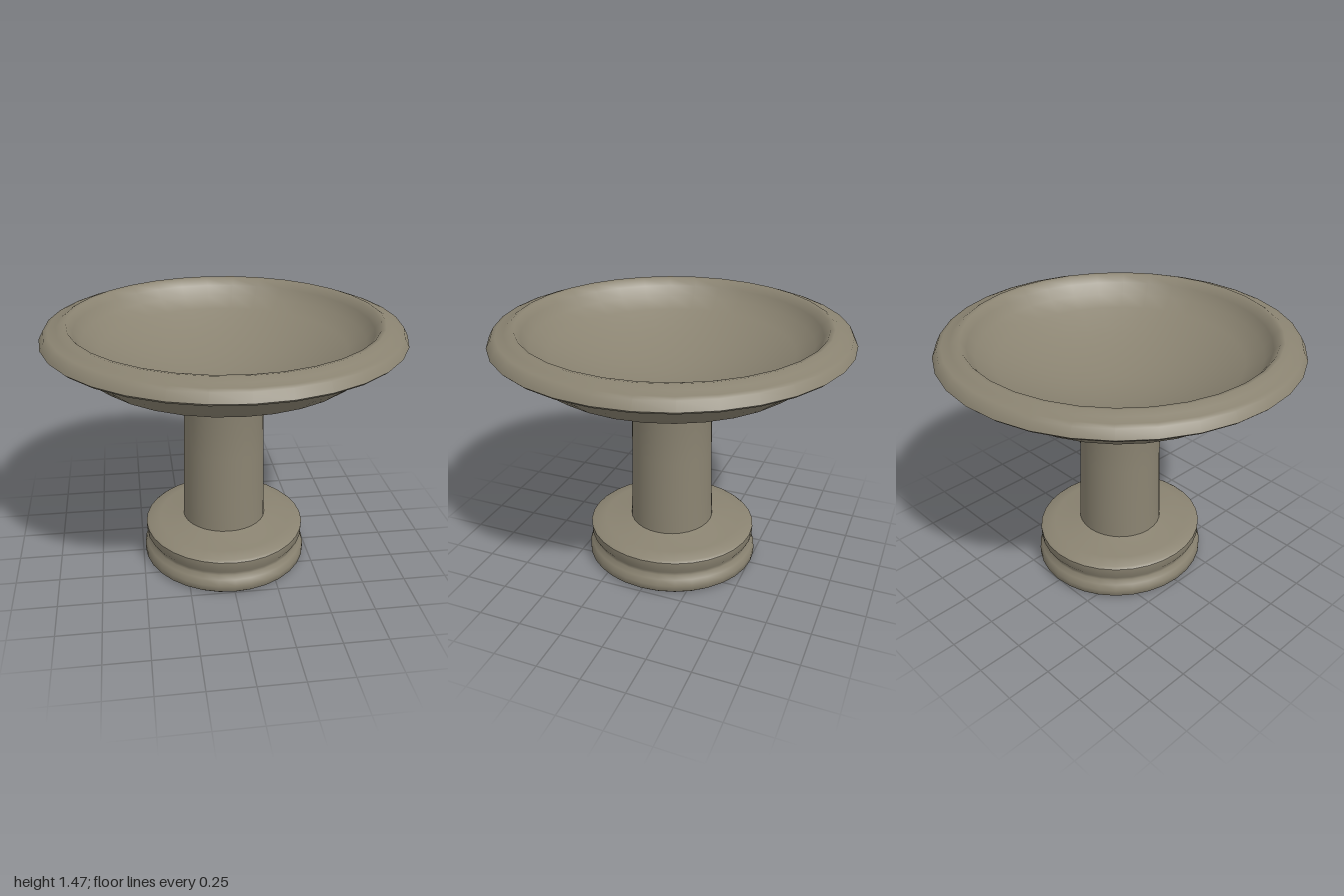
import * as THREE from 'three';
import { toCreasedNormals } from 'three/addons/utils/BufferGeometryUtils.js';

const SIDES = 32;

// Turned part from [radius, height] points, running up the outside
function turned(name, profile, material) {
  const points = profile.map(([r, y]) => new THREE.Vector2(r, y));
  const geometry = toCreasedNormals(new THREE.LatheGeometry(points, SIDES), 0.9);
  const mesh = new THREE.Mesh(geometry, material);
  mesh.name = name;
  return mesh;
}

export function createModel() {
  const stone = new THREE.MeshStandardMaterial({ color: 0x8a8371 });
  stone.name = 'weathered stone';

  const group = new THREE.Group();
  group.name = 'birdbath';

  // Grooved round foot with a shallow sloping top, open under the column
  const base = turned('base', [
    [0, 0], [0.47, 0], [0.487, 0.015], [0.487, 0.05], [0.475, 0.085],
    [0.455, 0.105], [0.457, 0.125], [0.472, 0.15], [0.474, 0.2],
    [0.46, 0.211], [0.39, 0.222], [0.3, 0.235], [0.232, 0.25],
  ], stone);
  base.scale.z = 1.05;
  group.add(base);

  // Slightly tapered column flaring into the bowl
  group.add(turned('column', [
    [0.246, 0.24], [0.241, 0.4], [0.234, 0.7], [0.229, 0.99],
    [0.235, 1.035], [0.25, 1.065], [0.28, 1.087],
  ], stone));

  // Bowl hollow: a rounded dish, from its centre out to the wall
  const hollow = [];
  for (let i = 0; i <= 8; i++) {
    const r = i * 0.0975;
    hollow.unshift([r, 1.13 + 0.4 * r * r]);
  }

  // Bowl: underside, rolled rim with a low inner ridge, then the hollow
  group.add(turned('bowl', [
    [0.27, 1.082], [0.42, 1.115], [0.6, 1.16], [0.75, 1.215],
    [0.84, 1.285], [0.92, 1.355], [0.95, 1.366], [0.985, 1.376], [1, 1.39],
    [0.975, 1.437], [0.95, 1.446], [0.905, 1.455], [0.875, 1.474],
    [0.85, 1.47], [0.82, 1.43], ...hollow,
  ], stone));

  return group;
}
